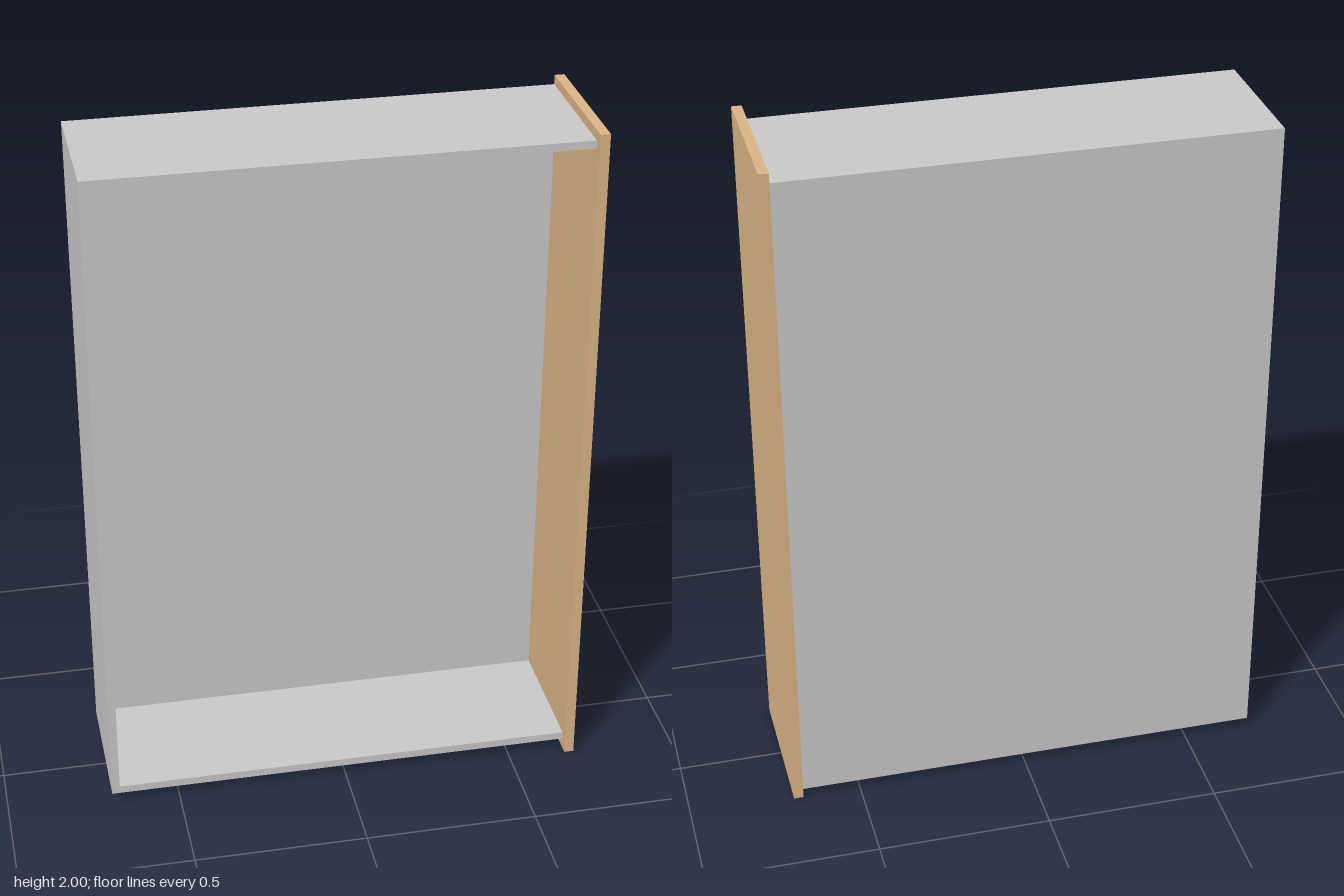
import * as THREE from 'three';

export function createModel() {
  const model = new THREE.Group();
  const grey = new THREE.MeshStandardMaterial({ color: 0xcccccc });
  const wood = new THREE.MeshStandardMaterial({ color: 0xdeb887 });

  // Board spanning two opposite corners
  const board = (name, material, [x0, y0, z0], [x1, y1, z1]) => {
    const mesh = new THREE.Mesh(new THREE.BoxGeometry(x1 - x0, y1 - y0, z1 - z0), material);
    mesh.position.set((x0 + x1) / 2, (y0 + y1) / 2, (z0 + z1) / 2);
    mesh.name = name;
    model.add(mesh);
  };

  const t = 0.023; // board thickness
  const left = -0.697, right = 0.669;
  const low = 0.03, high = 1.973;
  const back = -0.22, front = 0.19;

  // Open tray: back board and three walls
  board('backBoard', grey, [left, low, back], [right, high, back + t]);
  board('endWall', grey, [left, low, back + t], [left + t, high, front]);
  board('lowerWall', grey, [left + t, low, back + t], [right, low + t, front]);
  board('upperWall', grey, [left + t, high - t, back + t], [right, high, front]);

  // Oversized face panel closing the fourth side
  board('facePanel', wood, [right, 0, back], [0.697, 2, 0.218]);

  return model;
}
